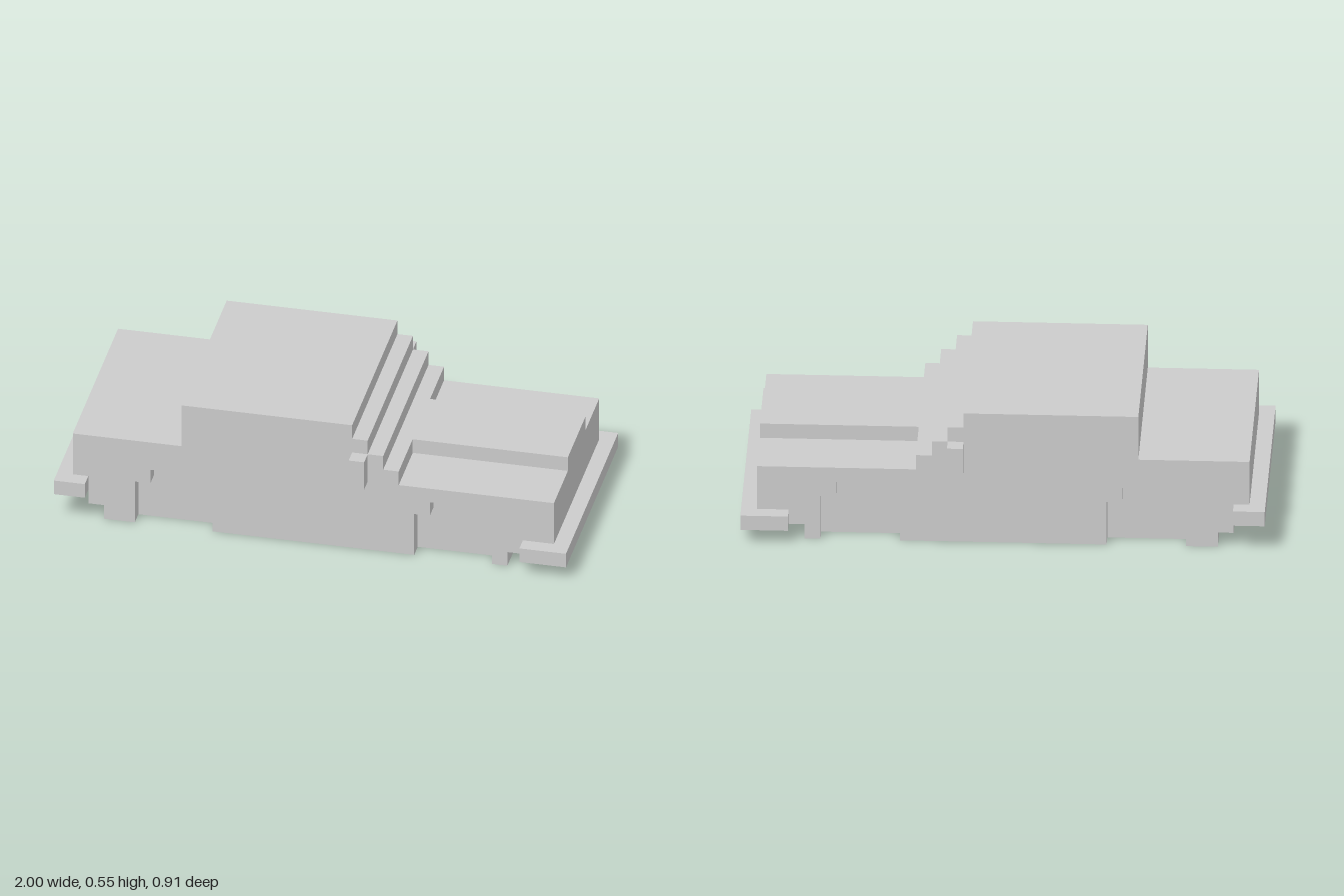
import * as THREE from 'three';

// One block of the grid; x is counted from the rear end, z from the centre line
const U = 2 / 33;
const material = new THREE.MeshStandardMaterial({ color: 0xcccccc, flatShading: true });

function addMesh(group, name, geometry) {
  const mesh = new THREE.Mesh(geometry, material);
  mesh.name = name;
  group.add(mesh);
  return mesh;
}

// Box between two grid corners
function addBlock(group, name, [x0, y0, z0], [x1, y1, z1]) {
  const geometry = new THREE.BoxGeometry((x1 - x0) * U, (y1 - y0) * U, (z1 - z0) * U);
  const mesh = addMesh(group, name, geometry);
  mesh.position.set(((x0 + x1) / 2) * U - 1, ((y0 + y1) / 2) * U, ((z0 + z1) / 2) * U);
}

// Side profile extruded across the car from z0 to z1
function addProfile(group, name, points, z0, z1) {
  const shape = new THREE.Shape(points.map(([x, y]) => new THREE.Vector2(x * U - 1, y * U)));
  const geometry = new THREE.ExtrudeGeometry(shape, { depth: (z1 - z0) * U, bevelEnabled: false });
  geometry.translate(0, 0, z0 * U);
  addMesh(group, name, geometry);
}

// Stepped wheel arch, from rear to front
const arch = (x) => [
  [x, 0], [x, 3], [x + 1, 3], [x + 1, 4],
  [x + 4, 4], [x + 4, 3], [x + 5, 3], [x + 5, 0],
];

export function createModel() {
  const car = new THREE.Group();
  car.name = 'car';

  // Outline over the nose, bonnet, windscreen steps, roof and boot
  const upper = [
    [29, 0], [29, 1], [30, 1], [30, 2], [32, 2], [32, 5], [22, 5], [22, 6],
    [21, 6], [21, 7], [20, 7], [20, 8], [19, 8], [19, 9], [8, 9], [8, 6],
    [1, 6], [1, 3], [2, 3], [2, 1], [3, 1],
  ];

  // Solid middle, with a one-block side panel cut by the wheel arches
  addProfile(car, 'bodyCore', [[3, 0], ...upper], -5.5, 5.5);
  const panel = [[3, 0], ...arch(5), ...arch(23), ...upper];
  addProfile(car, 'leftSidePanel', panel, 5.5, 6.5);
  addProfile(car, 'rightSidePanel', panel, -6.5, -5.5);

  // Raised strip along the bonnet
  addBlock(car, 'bonnetRidge', [22, 5, -2.5], [32, 6, 2.5]);

  // Bumpers reach past the body sides
  addBlock(car, 'frontBumper', [30, 1, -7.5], [33, 2, 7.5]);
  addBlock(car, 'rearBumper', [0, 2, -7.5], [2, 3, 7.5]);

  // Door mirrors
  addBlock(car, 'leftMirror', [19, 5, 6.5], [20, 7, 7.5]);
  addBlock(car, 'rightMirror', [19, 5, -7.5], [20, 7, -6.5]);

  return car;
}
